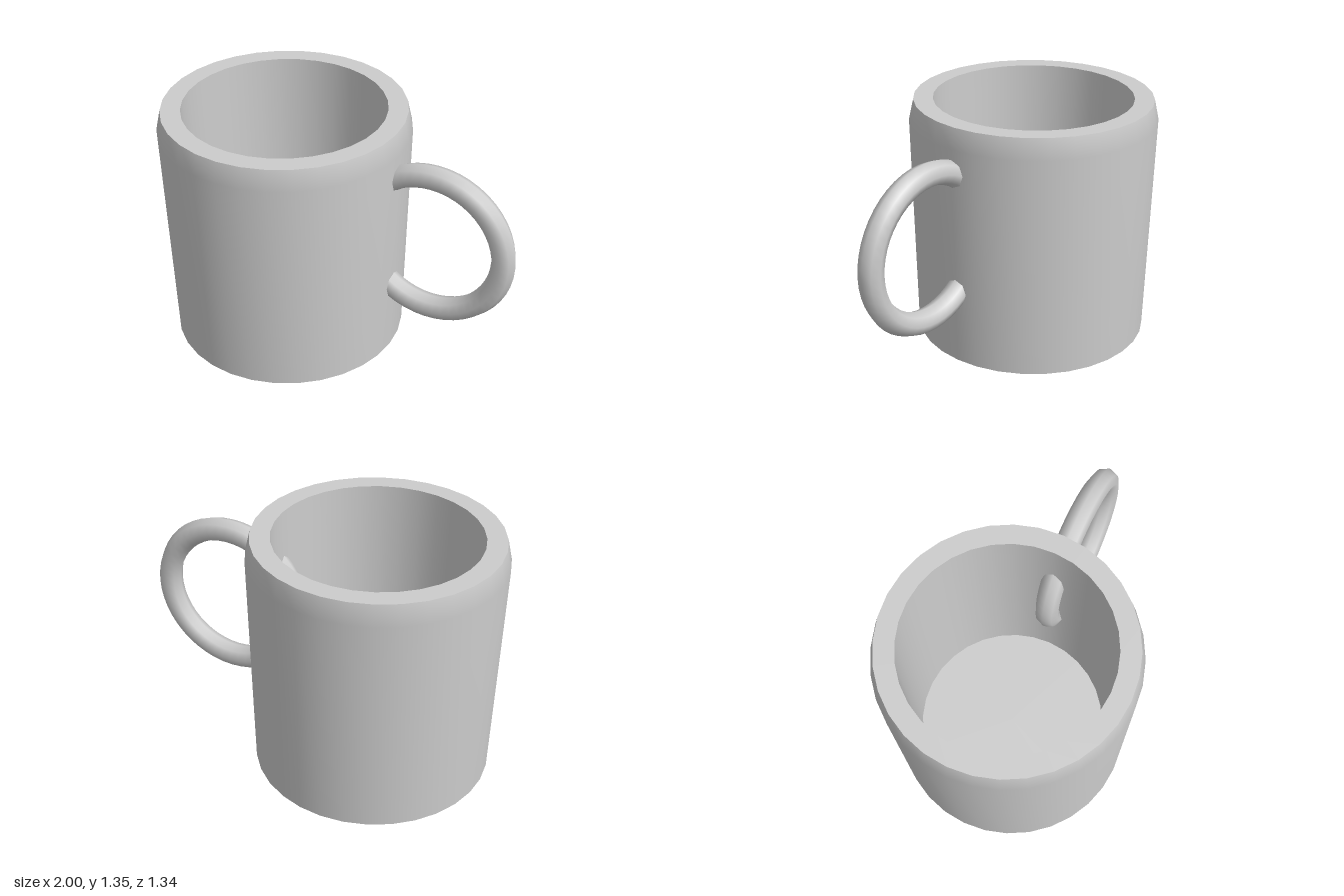
import * as THREE from 'three';

const SIDES = 32;

export function createModel() {
  const model = new THREE.Group();
  model.name = 'mug';
  const grey = new THREE.MeshStandardMaterial({ color: 0xcccccc });
  grey.name = 'plain grey';

  // Body: each profile strip is its own lathe, so edges between strips stay sharp
  const body = new THREE.Group();
  body.name = 'body';
  body.position.x = -0.33;
  const strips = {
    base: [[0, 0], [0.645, 0]],
    outerWall: [[0.645, 0], [0.67, 1.235], [0.645, 1.345]],
    rim: [[0.645, 1.345], [0.54, 1.345]],
    innerWall: [[0.54, 1.345], [0.517, 0.1]],
    innerFloor: [[0.517, 0.1], [0, 0.1]],
  };
  for (const [name, profile] of Object.entries(strips)) {
    const points = profile.map(([r, y]) => new THREE.Vector2(r, y));
    const mesh = new THREE.Mesh(new THREE.LatheGeometry(points, SIDES), grey);
    mesh.name = name;
    body.add(mesh);
  }
  model.add(body);

  // Handle: a full ring that passes through the wall
  const handle = new THREE.Mesh(new THREE.TorusGeometry(0.4, 0.065, 8, 48), grey);
  handle.name = 'handle';
  handle.position.set(0.533, 0.757, 0);
  model.add(handle);

  return model;
}
